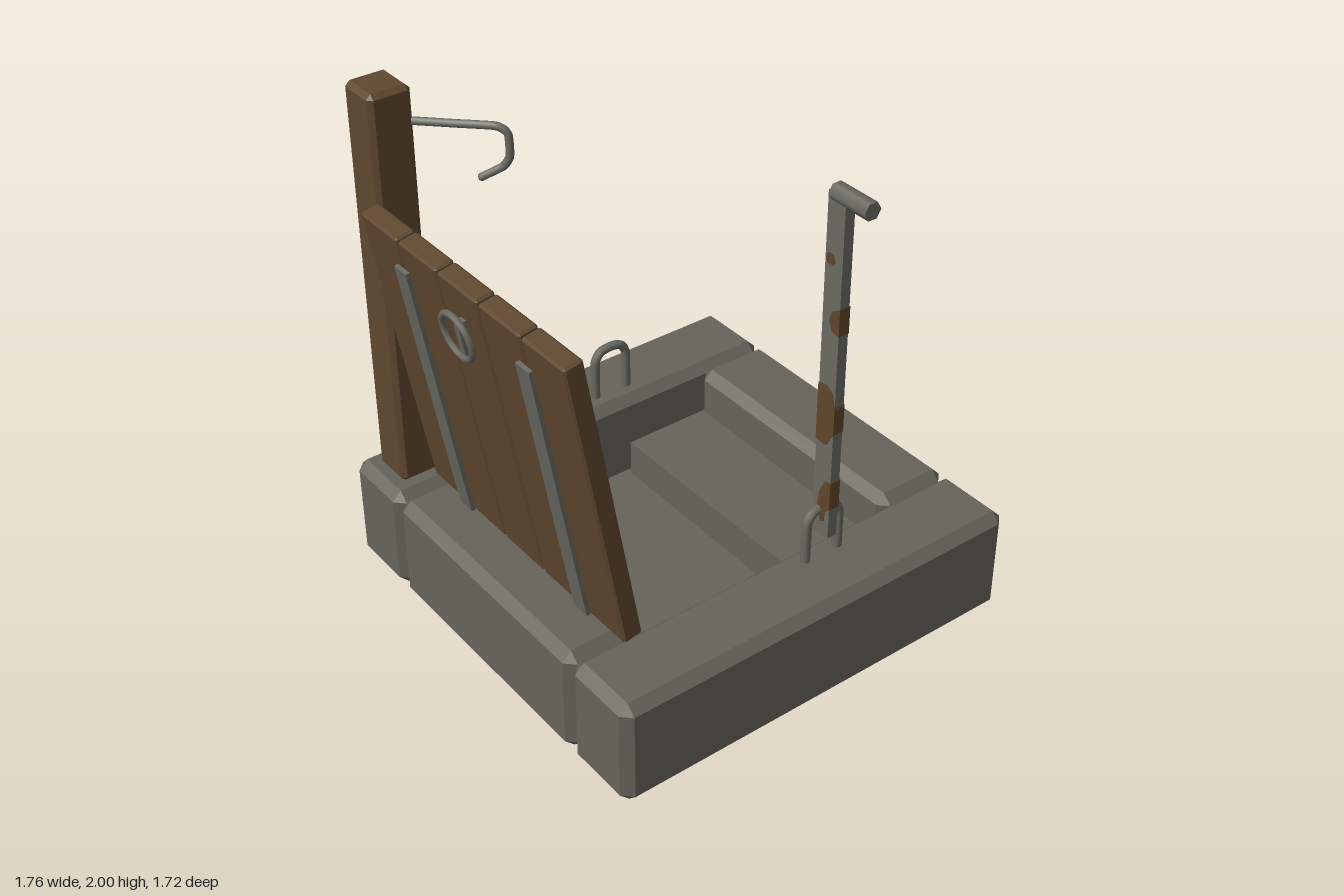
import * as THREE from 'three';
import { ConvexGeometry } from 'three/addons/geometries/ConvexGeometry.js';

const mat = (name, color) => {
  const m = new THREE.MeshStandardMaterial({ color });
  m.name = name;
  return m;
};

// Box with every edge chamfered by c
function chamferBox(w, h, d, c) {
  const pts = [];
  for (const i of [-1, 1]) for (const j of [-1, 1]) for (const k of [-1, 1]) {
    const x = i * w / 2, y = j * h / 2, z = k * d / 2;
    pts.push(
      new THREE.Vector3(x, y - j * c, z - k * c),
      new THREE.Vector3(x - i * c, y, z - k * c),
      new THREE.Vector3(x - i * c, y - j * c, z)
    );
  }
  return new ConvexGeometry(pts);
}

export function createModel() {
  const stone = mat('stone', 0x66635a);
  const wood = mat('wood', 0x5f482f);
  const metal = mat('metal', 0x6a6a62);
  const rust = mat('rust', 0x5e4529);
  const model = new THREE.Group();
  model.name = 'hatchPit';

  const add = (name, geo, material, x = 0, y = 0, z = 0, parent = model) => {
    const m = new THREE.Mesh(geo, material);
    m.name = name;
    m.position.set(x, y, z);
    parent.add(m);
    return m;
  };
  // Chamfered box given by its extents
  const block = (name, material, x0, x1, y0, y1, z0, z1, c) =>
    add(name, chamferBox(x1 - x0, y1 - y0, z1 - z0, c), material,
      (x0 + x1) / 2, (y0 + y1) / 2, (z0 + z1) / 2);
  const slab = (name, material, x0, x1, y0, y1, z0, z1) =>
    add(name, new THREE.BoxGeometry(x1 - x0, y1 - y0, z1 - z0), material,
      (x0 + x1) / 2, (y0 + y1) / 2, (z0 + z1) / 2);
  // Bent round bar through points
  const bar = (name, pts, r) => {
    const curve = new THREE.CatmullRomCurve3(
      pts.map(p => new THREE.Vector3(...p)), false, 'catmullrom', 0.25);
    return add(name, new THREE.TubeGeometry(curve, 40, r, 8), metal);
  };

  // Stone frame, floor and step
  block('frontBeam', stone, -0.835, 0.875, 0, 0.43, 0.54, 0.855, 0.037);
  block('backBeam', stone, -0.835, 0.875, 0, 0.43, -0.86, -0.545, 0.037);
  block('leftBeam', stone, 0.56, 0.875, 0, 0.43, -0.545, 0.54, 0.037);
  block('rightBeam', stone, -0.835, -0.525, 0, 0.43, -0.545, 0.54, 0.037);
  slab('floor', stone, -0.56, 0.6, 0.05, 0.09, -0.58, 0.58);
  slab('step', stone, 0.2, 0.59, 0.06, 0.24, -0.52, 0.51);

  // Corner post and its diagonal hook
  block('post', wood, -0.765, -0.6, 0.425, 2, -0.785, -0.615, 0.018);
  const hookPts = [[-0.62, 1.86], [-0.5, 1.86], [-0.4, 1.86], [-0.372, 1.835],
    [-0.37, 1.75], [-0.387, 1.71], [-0.44, 1.665]]
    .map(([x, y]) => [x, y, -0.63 + (x + 0.6)]);
  bar('hook', hookPts, 0.015);
  add('hookTip', new THREE.SphereGeometry(0.015, 8, 6), metal, ...hookPts[6]);

  // Two staples in the front and back beams
  for (const z of [0.62, -0.635]) {
    bar('staple', [[0.118, 0.41, z], [0.118, 0.52, z], [0.12, 0.595, z], [0.145, 0.63, z],
      [0.19, 0.637, z], [0.235, 0.63, z], [0.262, 0.595, z], [0.264, 0.52, z],
      [0.264, 0.41, z]], 0.018);
  }

  // Flat lifting rod with a crosswise grip
  slab('liftingRod', metal, 0.17, 0.21, 0.535, 1.88, 0.59, 0.672);
  const grip = add('rodGrip', new THREE.CylinderGeometry(0.034, 0.034, 0.17, 6), metal, 0.19, 1.875, 0.688);
  grip.geometry.rotateY(Math.PI / 6);
  grip.rotation.x = Math.PI / 2;

  // Rust patches as (z, y) outlines wrapped over the rod
  const patches = [
    [[0.6, 1.62], [0.63, 1.62], [0.637, 1.64], [0.628, 1.66], [0.605, 1.66], [0.595, 1.64]],
    [[0.674, 1.37], [0.64, 1.375], [0.624, 1.41], [0.635, 1.45], [0.674, 1.475]],
    [[0.588, 0.92], [0.64, 0.92], [0.674, 0.98], [0.674, 1.08], [0.66, 1.14], [0.63, 1.16], [0.588, 1.15]],
    [[0.674, 0.66], [0.65, 0.64], [0.65, 0.6], [0.63, 0.59], [0.613, 0.65], [0.618, 0.71], [0.645, 0.77], [0.674, 0.775]]
  ];
  for (const p of patches) {
    const s = new THREE.Shape(p.map(([z, y]) => new THREE.Vector2(-z, y)));
    const g = new THREE.ExtrudeGeometry(s, { depth: 0.044, bevelEnabled: false });
    g.rotateY(Math.PI / 2);
    add('rustPatch', g, rust, 0.168, 0, 0);
  }

  // Leaning plank hatch
  const hatch = new THREE.Group();
  hatch.name = 'hatch';
  hatch.position.set(-0.708, 1.03, 0);
  hatch.rotation.z = 0.173;
  model.add(hatch);
  for (let i = -2; i <= 2; i++) {
    add('plank', chamferBox(0.075, 1.2, 0.229, 0.008), wood, 0, 0, i * 0.2385, hatch);
  }
  for (const z of [-0.3578, 0.3578]) {
    add('strap', new THREE.BoxGeometry(0.016, 1.09, 0.075), metal, -0.0455, -0.06, z, hatch);
  }
  // Pull ring and its mount
  add('ringMount', new THREE.BoxGeometry(0.035, 0.14, 0.03), metal, -0.052, 0.4, 0, hatch);
  const ring = add('pullRing', new THREE.TorusGeometry(0.085, 0.012, 8, 24), metal, -0.075, 0.42, 0, hatch);
  ring.rotation.y = Math.PI / 2;
  // Narrow worn metal sliver on the inner face
  const sliver = new THREE.ExtrudeGeometry(new THREE.Shape([
    new THREE.Vector2(0.327, 0.59), new THREE.Vector2(0.35, 0.59), new THREE.Vector2(0.352, 0.16)
  ]), { depth: 0.002, bevelEnabled: false });
  sliver.rotateY(Math.PI / 2);
  add('sliver', sliver, metal, 0.0375, 0, 0, hatch);

  return model;
}
